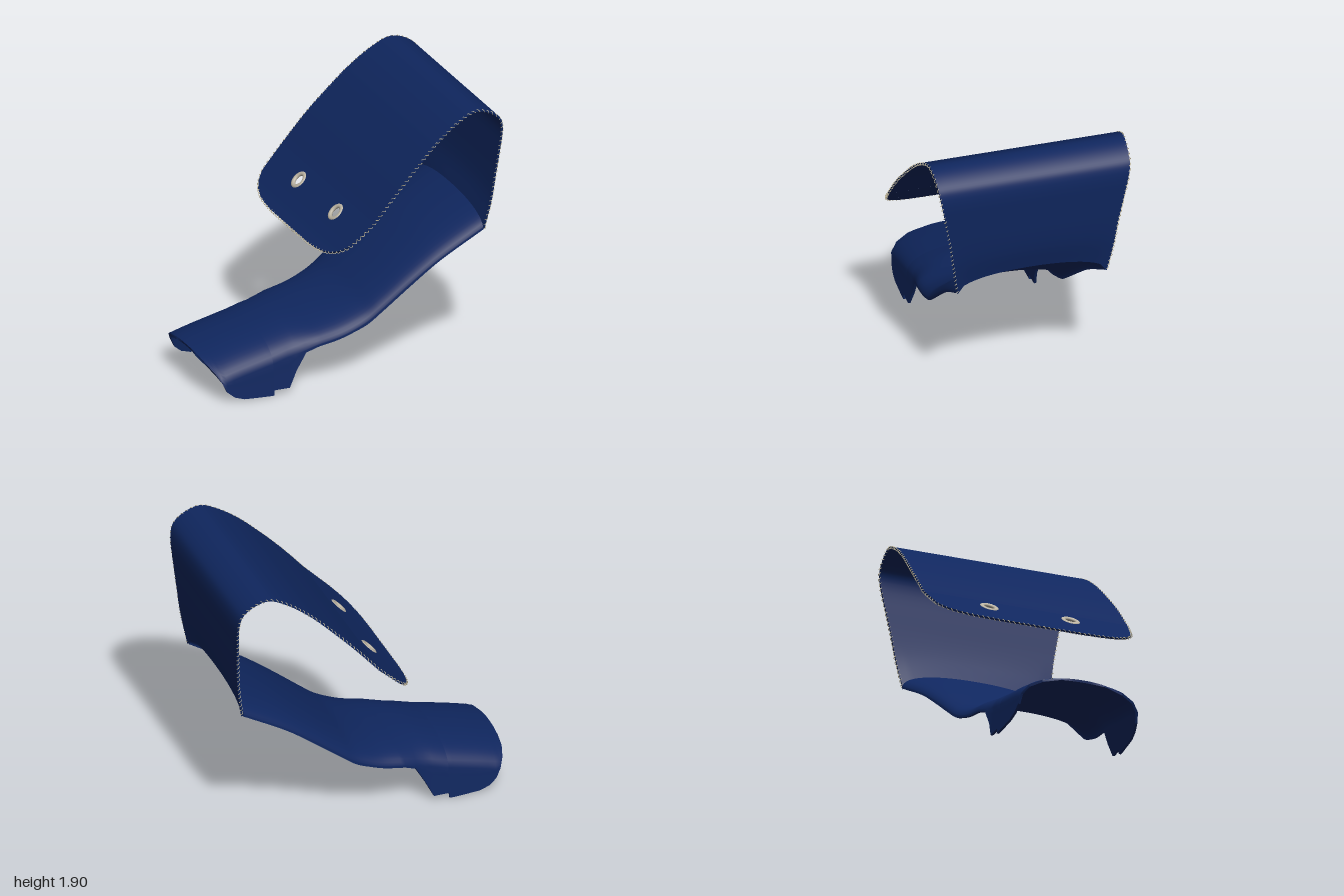
import * as THREE from 'three';

const V = (x, y, z) => new THREE.Vector3(x, y, z);
const lerp = THREE.MathUtils.lerp;

// Thick sheet from a grid of points: two smooth faces and a crisp rim
function sheet(grid, thick) {
  const R = grid.length, C = grid[0].length, pos = [], idx = [];
  const faces = [1, -1].map(side => grid.map((row, i) => row.map((p, j) => {
    const du = grid[Math.min(i + 1, R - 1)][j].clone().sub(grid[Math.max(i - 1, 0)][j]);
    const dv = row[Math.min(j + 1, C - 1)].clone().sub(row[Math.max(j - 1, 0)]);
    return dv.cross(du).normalize().multiplyScalar(side * thick / 2).add(p);
  })));
  const add = p => pos.push(p.x, p.y, p.z) / 3 - 1;
  faces.forEach((f, k) => {
    const ids = f.map(row => row.map(add));
    for (let i = 0; i < R - 1; i++) for (let j = 0; j < C - 1; j++) {
      const a = ids[i][j], b = ids[i][j + 1], c = ids[i + 1][j + 1], d = ids[i + 1][j];
      if (k === 0) idx.push(a, b, c, a, c, d);
      else idx.push(a, c, b, a, d, c);
    }
  });
  const loop = [];
  for (let j = 0; j < C - 1; j++) loop.push([0, j]);
  for (let i = 0; i < R - 1; i++) loop.push([i, C - 1]);
  for (let j = C - 1; j > 0; j--) loop.push([R - 1, j]);
  for (let i = R - 1; i > 0; i--) loop.push([i, 0]);
  loop.forEach(([i, j], k) => {
    const [m, n] = loop[(k + 1) % loop.length];
    const a = add(faces[0][i][j]), b = add(faces[0][m][n]);
    const c = add(faces[1][m][n]), d = add(faces[1][i][j]);
    idx.push(a, c, b, a, d, c);
  });
  const g = new THREE.BufferGeometry();
  g.setAttribute('position', new THREE.Float32BufferAttribute(pos, 3));
  g.setIndex(idx);
  g.computeVertexNormals();
  return g;
}

// Height lost at sideways fraction f of the arched tongue
const POW = 2.2;
const archDrop = (f, h) => h * (1 - Math.pow(Math.max(0, 1 - Math.pow(Math.abs(f), POW)), 1 / POW));

// One arched cross-section of the tongue, cut off at depth D below its ridge
function tongueRow([x, top, D]) {
  const k = THREE.MathUtils.clamp((x + 0.4) / 0.15, 0, 1);
  const H = lerp(0.17, 0.125, k);
  const W = x < -0.25 ? lerp(0.41, 0.437, k) : lerp(0.437, 0.512, (x + 0.25) / 1.165);
  const m = 0.9 * Math.min(D, H), aMax = Math.acos(Math.pow(1 - m / H, POW / 2));
  const row = [];
  for (let j = -16; j <= 16; j++) {
    const v = Math.abs(j) / 16;
    const d = v <= 0.75 ? H * (1 - Math.pow(Math.cos(aMax * v / 0.75), 2 / POW)) : lerp(m, D, (v - 0.75) / 0.25);
    const q = 1 - Math.min(d / H, 1);
    const z = W * Math.pow(Math.max(0, 1 - Math.pow(q, POW)), 1 / POW) + 0.12 * Math.max(0, d - H);
    row.push(V(x, top - d, Math.sign(j) * z));
  }
  return row;
}

export function createModel() {
  const navy = new THREE.MeshStandardMaterial({ color: 0x0f265e, side: THREE.DoubleSide });
  navy.name = 'navy leather';
  const thread = new THREE.MeshStandardMaterial({ color: 0xcfc4a4 });
  thread.name = 'cream thread';
  const metal = new THREE.MeshStandardMaterial({ color: 0xbdb5a4 });
  metal.name = 'pale metal';
  const model = new THREE.Group();
  const put = (name, geo, mat) => {
    const mesh = new THREE.Mesh(geo, mat);
    mesh.name = name;
    model.add(mesh);
    return mesh;
  };

  // Tongue: side wings at the toe, then a shallow channel rising to the heel
  const toe = [
    [-1, 0.265, 0.01], [-0.985, 0.268, 0.04], [-0.96, 0.275, 0.085], [-0.93, 0.283, 0.145],
    [-0.9, 0.29, 0.215], [-0.85, 0.303, 0.27], [-0.78, 0.32, 0.31], [-0.68, 0.342, 0.338],
    [-0.6, 0.36, 0.36], [-0.566, 0.367, 0.367], [-0.564, 0.367, 0.332], [-0.455, 0.397, 0.362],
    [-0.4, 0.408, 0.265], [-0.33, 0.416, 0.155]];
  const rise = new THREE.CatmullRomCurve3([
    V(-0.25, 0.423, 0.13), V(-0.1, 0.453, 0.13), V(0, 0.487, 0.13), V(0.1, 0.535, 0.135),
    V(0.2, 0.607, 0.135), V(0.4, 0.76, 0.135), V(0.6, 0.9, 0.13), V(0.915, 1.083, 0.13)]);
  const rows = [...toe, ...rise.getPoints(36).map(p => p.toArray())];
  put('tongue', sheet(rows.map(tongueRow), 0.016), navy);

  // Strap: each row is (x, y, half width)
  const T = 0.012;
  const tip = [V(-0.253, 0.985, 0.3), V(-0.247, 0.99, 0.4), V(-0.235, 0.999, 0.49), V(-0.213, 1.017, 0.57),
    V(-0.18, 1.045, 0.635), V(-0.13, 1.089, 0.685)];
  const bend = new THREE.CatmullRomCurve3([
    V(0.03, 1.24, 0.722), V(0.2, 1.43, 0.718), V(0.35, 1.582, 0.705), V(0.5, 1.722, 0.69), V(0.65, 1.83, 0.678),
    V(0.78, 1.888, 0.67), V(0.88, 1.868, 0.664), V(0.965, 1.805, 0.658), V(0.99, 1.735, 0.648),
    V(0.983, 1.5, 0.603), V(0.96, 1.25, 0.555), V(0.92, 1.078, 0.513)]).getPoints(66);
  const strapRow = p => {
    const k = p.x > 0.8 ? THREE.MathUtils.clamp((1.35 - p.y) / 0.27, 0, 1) : 0;
    return Array.from({ length: 25 }, (_, j) => {
      const f = j / 12 - 1;
      return V(p.x, p.y - k * archDrop(f, 0.125), f * p.z);
    });
  };
  const tipRows = tip.map(strapRow), bendRows = bend.map(strapRow);
  put('strapTip', sheet(tipRows, T), navy);
  put('strapBend', sheet(bendRows, T), navy);

  // Flat strap panel with two round holes, laid between tip and bend
  const a = tip[tip.length - 1], b = bend[0];
  const along = V(b.x - a.x, b.y - a.y, 0), len = along.length();
  along.normalize();
  const up = V(-along.y, along.x, 0), holeS = 0.5 * len, holeZ = 0.288;
  const panel = new THREE.Shape([[0, a.z], [0, -a.z], [len, -b.z], [len, b.z]]
    .map(([s, z]) => new THREE.Vector2(s, -z)));
  for (const side of [1, -1]) {
    panel.holes.push(new THREE.Path().absarc(holeS, side * holeZ, 0.042, 0, Math.PI * 2));
  }
  const frame = new THREE.Matrix4().makeBasis(along, V(0, 0, -1), up).setPosition(a.x, a.y, 0);
  put('strapHolePanel', new THREE.ExtrudeGeometry(panel, { depth: T, bevelEnabled: false, curveSegments: 24 })
    .translate(0, 0, -T / 2).applyMatrix4(frame), navy);

  // Eyelets around the holes
  for (const side of [1, -1]) {
    put(side > 0 ? 'frontEyelet' : 'backEyelet', new THREE.TorusGeometry(0.05, 0.016, 10, 32)
      .scale(1, 1, 0.8).translate(holeS, -side * holeZ, 0).applyMatrix4(frame), metal);
  }

  // Whip stitching wound around the free edge of the strap
  const edge = [...tipRows, ...bendRows];
  const path = new THREE.CatmullRomCurve3([
    ...edge.map(r => r[0]).reverse(), ...edge.map(r => r[24])]);
  path.arcLengthDivisions = 2000;
  const turns = Math.round(path.getLength() / 0.036), steps = turns * 6;
  const fr = path.computeFrenetFrames(steps, false);
  const coil = new THREE.CatmullRomCurve3(Array.from({ length: steps + 1 }, (_, i) => {
    const t = i / 6 * Math.PI * 2;
    return path.getPointAt(i / steps)
      .addScaledVector(fr.normals[i], 0.008 * Math.cos(t))
      .addScaledVector(fr.binormals[i], 0.008 * Math.sin(t));
  }));
  coil.arcLengthDivisions = steps * 3;
  put('edgeStitching', new THREE.TubeGeometry(coil, steps * 2, 0.0025, 4), thread);

  return model;
}
